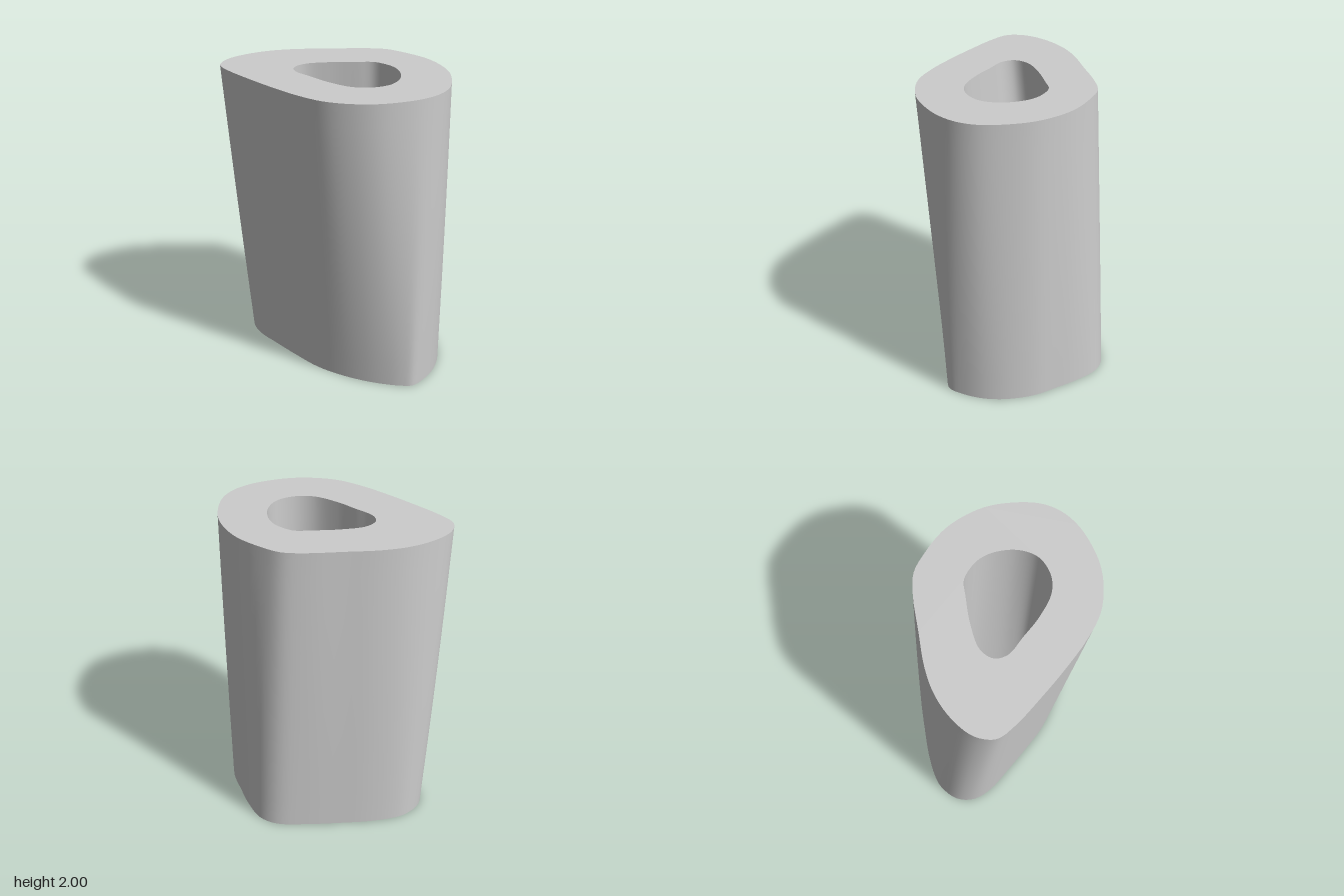
import * as THREE from 'three';

const SAMPLES = 96, ROWS = 12, HEIGHT = 2;

// Outlines as [x, z] pairs, starting at the back and running towards +x.
const outerTop = [[-.09, -.52], [.08, -.555], [.22, -.547], [.38, -.5], [.52, -.41], [.64, -.29], [.695, -.17],
  [.705, -.04], [.68, .09], [.62, .24], [.53, .36], [.4, .465], [.22, .53], [0, .573], [-.22, .602], [-.43, .62],
  [-.56, .605], [-.64, .51], [-.665, .36], [-.64, .18], [-.57, .015], [-.45, -.17], [-.32, -.365], [-.22, -.47]];
const outerBottom = [[-.13, -.62], [.04, -.598], [.2, -.55], [.36, -.495], [.52, -.385], [.62, -.265], [.675, -.14],
  [.695, -.03], [.655, .035], [.58, .11], [.48, .19], [.34, .275], [.15, .355], [-.07, .395], [-.28, .422], [-.46, .44],
  [-.6, .41], [-.69, .32], [-.715, .18], [-.69, .08], [-.615, -.07], [-.51, -.23], [-.37, -.43], [-.25, -.57]];
const innerTop = [[.03, -.26], [.12, -.27], [.22, -.24], [.33, -.155], [.385, -.04], [.36, .09], [.28, .18],
  [.12, .24], [-.03, .265], [-.17, .285], [-.245, .245], [-.265, .15], [-.2, 0], [-.1, -.15], [-.04, -.23]];
const innerBottom = [[-.07, -.3], [.03, -.295], [.15, -.245], [.265, -.165], [.33, -.075], [.29, .015], [.19, .095],
  [.05, .148], [-.1, .156], [-.24, .148], [-.33, .12], [-.37, .06], [-.3, -.08], [-.19, -.225], [-.13, -.28]];

// Smooth closed loop through the outline points
function loop(outline) {
  const curve = new THREE.CatmullRomCurve3(outline.map(([x, z]) => new THREE.Vector3(x, 0, z)), true);
  return Array.from({ length: SAMPLES }, (_, i) => curve.getPoint(i / SAMPLES));
}

// Wall lofted between two loops, with an optional slight sideways bulge
function wall(bottom, top, facesOut, bulge = 0) {
  const positions = [], index = [];
  for (let r = 0; r <= ROWS; r++) {
    const t = r / ROWS, widen = 1 + bulge * Math.sin(Math.PI * t);
    for (let i = 0; i < SAMPLES; i++) {
      const p = bottom[i].clone().lerp(top[i], t);
      positions.push(p.x * widen, t * HEIGHT, p.z);
    }
  }
  for (let r = 0; r < ROWS; r++) {
    for (let i = 0; i < SAMPLES; i++) {
      const j = (i + 1) % SAMPLES;
      const a = r * SAMPLES + i, b = r * SAMPLES + j, c = a + SAMPLES, d = b + SAMPLES;
      if (facesOut) index.push(a, c, b, b, c, d);
      else index.push(a, b, c, b, d, c);
    }
  }
  const geometry = new THREE.BufferGeometry();
  geometry.setAttribute('position', new THREE.Float32BufferAttribute(positions, 3));
  geometry.setIndex(index);
  geometry.computeVertexNormals();
  return geometry;
}

// Flat ring closing one end; side is 1 for the top and -1 for the bottom
function endFace(outer, inner, side) {
  const flat = (points) => points.map((p) => new THREE.Vector2(p.x, -side * p.z));
  const shape = new THREE.Shape(flat(outer));
  shape.holes.push(new THREE.Path(flat(inner)));
  return new THREE.ShapeGeometry(shape).rotateX(-side * Math.PI / 2).translate(0, side > 0 ? HEIGHT : 0, 0);
}

export function createModel() {
  const group = new THREE.Group();
  group.name = 'hollowShaft';
  const grey = new THREE.MeshStandardMaterial({ color: 0xcccccc });
  grey.name = 'light grey';
  const add = (name, geometry) => {
    const mesh = new THREE.Mesh(geometry, grey);
    mesh.name = name;
    group.add(mesh);
  };
  const [ot, ob, it, ib] = [outerTop, outerBottom, innerTop, innerBottom].map(loop);
  add('outerWall', wall(ob, ot, true, 0.012));
  add('innerWall', wall(ib, it, false));
  add('topFace', endFace(ot, it, 1));
  add('bottomFace', endFace(ob, ib, -1));
  return group;
}
